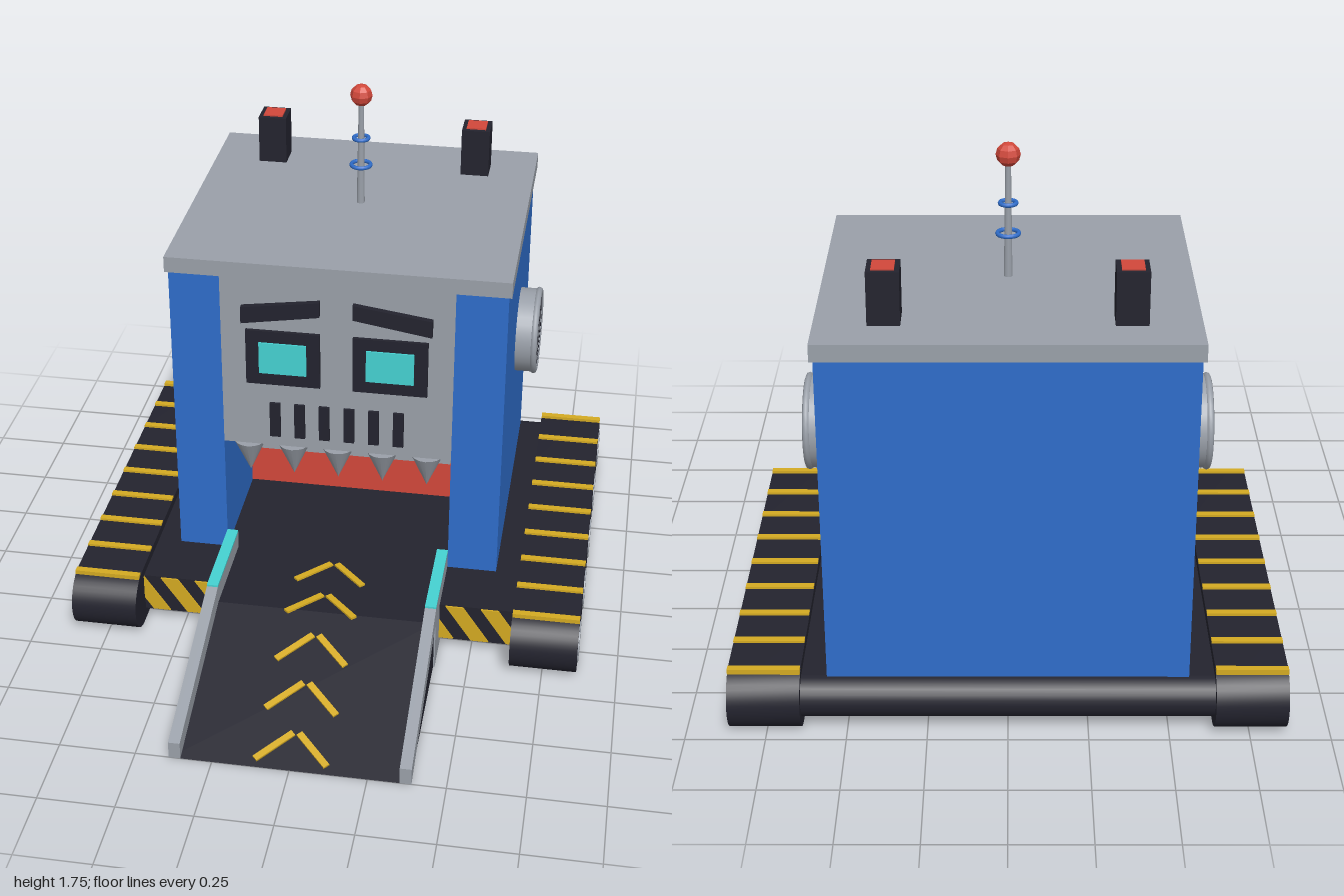
import * as THREE from 'three';
import { toCreasedNormals } from 'three/addons/utils/BufferGeometryUtils.js';

const mat = (name, color) => {
  const m = new THREE.MeshStandardMaterial({ color });
  m.name = name;
  return m;
};

export function createModel() {
  const root = new THREE.Group();
  root.name = 'robotHouse';
  const blue = mat('blue', 0x2f6dca), gray = mat('gray', 0x9aa0a9), dark = mat('dark', 0x23232e);
  const red = mat('red', 0xd2483b), yellow = mat('yellow', 0xd4aa22), cyan = mat('cyan', 0x45d2d2);

  const add = (name, geo, m, x = 0, y = 0, z = 0) => {
    const mesh = new THREE.Mesh(geo, m);
    mesh.name = name;
    mesh.position.set(x, y, z);
    root.add(mesh);
    return mesh;
  };
  // box given by its limits on each axis
  const box = (name, m, x0, x1, y0, y1, z0, z1) =>
    add(name, new THREE.BoxGeometry(x1 - x0, y1 - y0, z1 - z0), m, (x0 + x1) / 2, (y0 + y1) / 2, (z0 + z1) / 2);
  // side profile in (z, y) extruded along x from x0 to x1
  const sideGeo = (shape, x0, x1) => {
    const g = new THREE.ExtrudeGeometry(shape, { depth: x1 - x0, bevelEnabled: false, curveSegments: 10 });
    g.rotateY(-Math.PI / 2).scale(1, 1, 1);
    return toCreasedNormals(g.translate(x1, 0, 0), 0.6);
  };
  const poly = (pts) => new THREE.Shape(pts.map((p) => new THREE.Vector2(...p)));
  const alongX = (r, len, seg = 32) => new THREE.CylinderGeometry(r, r, len, seg).rotateZ(Math.PI / 2);

  // house body with a garage recess in the front
  for (const s of [-1, 1]) {
    box('sideWall', blue, Math.min(s * 0.39, s * 0.56), Math.max(s * 0.39, s * 0.56), 0.17, 1.26, -0.92, 0.08);
  }
  box('backBlock', blue, -0.39, 0.39, 0.17, 1.26, -0.92, -0.36);
  box('facePanel', gray, -0.39, 0.39, 0.62, 1.26, -0.36, 0.08);
  box('garageBackWall', red, -0.39, 0.39, 0.18, 0.62, -0.36, -0.352);
  box('roof', gray, -0.57, 0.57, 1.26, 1.315, -0.937, 0.093);

  // rolled shutter inside the mouth
  add('shutterRoll', alongX(0.06, 0.72, 24), gray, 0, 0.48, -0.28);
  for (let i = 0; i < 4; i++) {
    const y = 0.412 + i * 0.02;
    box('shutterSlat', gray, -0.36, 0.36, y, y + 0.017, -0.34, -0.215 + (i % 2) * 0.004);
  }

  // teeth
  for (let i = -2; i <= 2; i++) {
    add('tooth', new THREE.ConeGeometry(0.055, 0.125, 16).rotateX(Math.PI), gray, i * 0.153, 0.5575, 0.05);
  }

  // eyes, brows and grille
  for (const s of [-1, 1]) {
    const ex = s * 0.18;
    box('eyeFrame', dark, ex - 0.125, ex + 0.125, 0.865, 1.067, 0.075, 0.092);
    box('eye', cyan, ex - 0.08, ex + 0.08, 0.91, 1.025, 0.09, 0.098);
    const brow = poly([[0.055, 1.138], [0.318, 1.095], [0.318, 1.155], [0.055, 1.192]].map(([x, y]) => [s * x, y]));
    add('brow', new THREE.ExtrudeGeometry(brow, { depth: 0.02, bevelEnabled: false }), dark, 0, 0, 0.08);
  }
  for (let i = 0; i < 6; i++) {
    const x = (i - 2.5) * 0.084;
    box('grilleSlot', dark, x - 0.018, x + 0.018, 0.66, 0.79, 0.075, 0.09);
  }

  // round side speakers with dark rings
  for (const s of [-1, 1]) {
    add('speaker', alongX(0.148, 0.09), gray, s * 0.585, 0.84, -0.475);
    const rim = add('speakerRim', new THREE.TorusGeometry(0.142, 0.012, 8, 32), gray, s * 0.624, 0.84, -0.475);
    rim.rotation.y = Math.PI / 2;
    for (const [r0, r1] of [[0.107, 0.13], [0.071, 0.089], [0.035, 0.053]]) {
      const ring = add('speakerRing', new THREE.RingGeometry(r0, r1, 32), dark, s * 0.632, 0.84, -0.475);
      ring.rotation.y = s * Math.PI / 2;
    }
  }

  // roof chimneys with red tops
  for (const s of [-1, 1]) {
    const x = s * 0.362;
    box('chimney', dark, x - 0.049, x + 0.049, 1.31, 1.483, -0.805, -0.705);
    box('chimneyLight', red, x - 0.034, x + 0.034, 1.481, 1.488, -0.79, -0.72);
  }

  // antenna
  add('antennaMast', new THREE.CylinderGeometry(0.009, 0.014, 0.38, 10), gray, 0, 1.5, -0.425);
  for (const [y, r] of [[1.455, 0.033], [1.553, 0.025]]) {
    add('antennaRing', new THREE.TorusGeometry(r, 0.007, 8, 20).rotateX(Math.PI / 2), blue, 0, y, -0.425);
  }
  const ballMat = red;
  const ball = new THREE.SphereGeometry(0.038, 8, 6).toNonIndexed();
  ball.computeVertexNormals();
  add('antennaBall', ball, ballMat, 0, 1.708, -0.425);

  // chassis with a rounded rear bumper and hazard stripes
  box('chassis', dark, -0.65, 0.65, 0.04, 0.18, -0.91, 0.3);
  add('rearBumper', alongX(0.07, 1.3, 24), dark, 0, 0.11, -0.91);
  for (const a of [-0.7, -0.58, -0.46, 0.29, 0.41, 0.53]) {
    const stripe = poly([[a, 0.178], [a + 0.09, 0.045], [a + 0.15, 0.045], [a + 0.06, 0.178]]);
    add('hazardStripe', new THREE.ExtrudeGeometry(stripe, { depth: 0.006, bevelEnabled: false }), yellow, 0, 0, 0.3);
  }

  // crawler tracks with wheels and treads
  const track = new THREE.Shape();
  track.absarc(0.325, 0.105, 0.105, -Math.PI / 2, Math.PI / 2, false);
  track.absarc(-0.895, 0.105, 0.105, Math.PI / 2, Math.PI * 1.5, false);
  for (const s of [-1, 1]) {
    add('track', sideGeo(track, s > 0 ? 0.64 : -0.865, s > 0 ? 0.865 : -0.64), dark);
    for (let i = 0; i < 5; i++) add('wheel', alongX(0.07, 0.01, 24), gray, s * 0.864, 0.105, 0.33 - i * 0.306);
    for (let i = 0; i < 9; i++) {
      const z = 0.35 - i * 0.16;
      const x = s * 0.753;
      box('tread', yellow, x - 0.112, x + 0.112, 0.2, 0.218, z - 0.012, z + 0.012);
    }
  }

  // level floor and sloping ramp with rails
  box('garageFloor', dark, -0.385, 0.385, 0.02, 0.182, -0.36, 0.41);
  add('ramp', sideGeo(poly([[1, 0], [0.41, 0.182], [0.41, 0]]), -0.385, 0.385), dark);
  const rail = poly([[1, 0], [1, 0.06], [0.41, 0.245], [0.41, 0.182]]);
  for (const s of [-1, 1]) {
    const x0 = s > 0 ? 0.352 : -0.39, x1 = x0 + 0.038;
    add('rampRail', sideGeo(rail, x0, x1), gray);
    box('floorRail', gray, x0, x1, 0, 0.243, 0.08, 0.412);
    box('railLight', cyan, x0, x1, 0.243, 0.251, 0.08, 0.412);
  }

  // chevrons pointing into the garage
  const slope = Math.atan2(0.182, 0.59);
  for (let i = 0; i < 5; i++) {
    const z = 0.19 + i * 0.183;
    const onRamp = z > 0.41;
    const chevron = new THREE.Group();
    chevron.name = 'chevron';
    chevron.position.set(0, onRamp ? 0.182 * (1 - z) / 0.59 + 0.003 : 0.185, z);
    chevron.rotation.x = onRamp ? slope : 0;
    for (const s of [-1, 1]) {
      const arm = new THREE.Mesh(new THREE.BoxGeometry(0.152, 0.008, 0.022), yellow);
      arm.name = 'chevronArm';
      arm.position.x = s * 0.063;
      arm.rotation.y = -s * 0.8;
      chevron.add(arm);
    }
    root.add(chevron);
  }
  return root;
}
